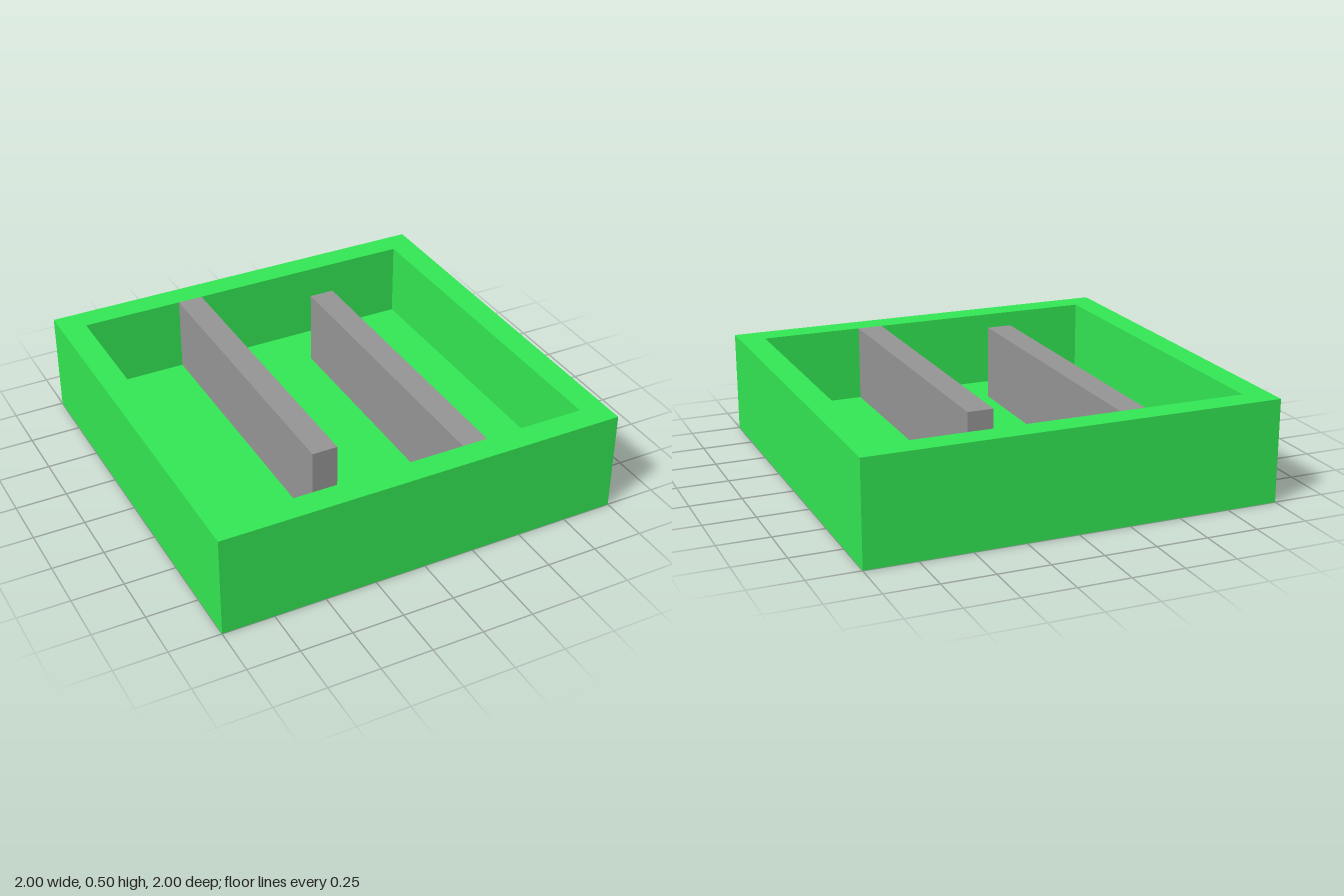
import * as THREE from 'three';

const SIZE = 2, HEIGHT = 0.5, WALL = 0.125;

export function createModel() {
  const green = new THREE.MeshStandardMaterial({ color: 0x32e753 });
  green.name = 'green';
  const grey = new THREE.MeshStandardMaterial({ color: 0x959595 });
  grey.name = 'grey';

  const model = new THREE.Group();
  model.name = 'mazeTray';

  const add = (name, geometry, material) => {
    const mesh = new THREE.Mesh(geometry, material);
    mesh.name = name;
    model.add(mesh);
    return mesh;
  };

  // Square rim: a frame extruded upward
  const square = (path, h) => path.moveTo(-h, -h).lineTo(h, -h).lineTo(h, h).lineTo(-h, h).closePath();
  const outline = square(new THREE.Shape(), SIZE / 2);
  const inner = SIZE / 2 - WALL;
  outline.holes.push(square(new THREE.Path(), inner));
  const rim = new THREE.ExtrudeGeometry(outline, { depth: HEIGHT, bevelEnabled: false });
  rim.rotateX(-Math.PI / 2);
  add('rim', rim, green);

  // Floor filling the rim
  add('floor', new THREE.BoxGeometry(inner * 2, WALL, inner * 2), green).position.y = WALL / 2;

  // Two staggered dividers, each joined to one end wall and flush with the rim
  const length = 1.5, depth = HEIGHT - WALL;
  for (const [name, side] of [['rightDivider', -1], ['leftDivider', 1]]) {
    add(name, new THREE.BoxGeometry(WALL, depth, length), grey)
      .position.set(side * 0.3125, WALL + depth / 2, side * (inner - length / 2));
  }

  return model;
}
